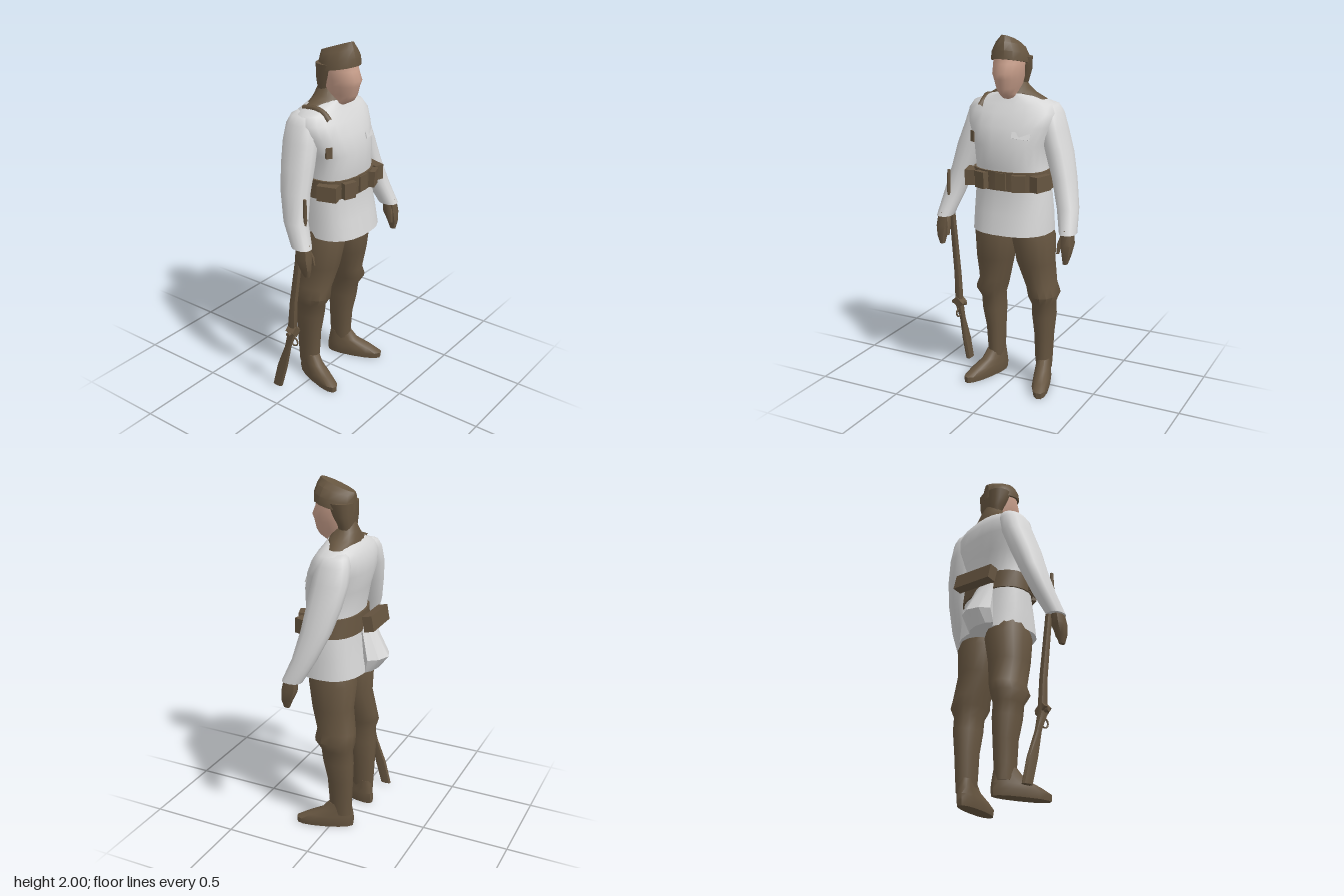
import * as THREE from 'three';
import { toCreasedNormals } from 'three/addons/utils/BufferGeometryUtils.js';

const material = (name, color) =>
  Object.assign(new THREE.MeshStandardMaterial({ color }), { name });

// Closed skin over rings listed upwards: [y, xMin, xMax, zMin, zMax, tilt].
// power 2 gives ellipses, more gives squarer rings, less gives diamonds.
function loft(rings, { sides = 14, power = 2, crease = 0.9 } = {}) {
  const pos = [], index = [];
  const bend = v => Math.sign(v) * Math.abs(v) ** (2 / power);
  for (const [y, x0, x1, z0, z1, tilt = 0] of rings) {
    for (let j = 0; j < sides; j++) {
      const a = (j / sides) * Math.PI * 2;
      const dz = bend(Math.sin(a)) * (z1 - z0) / 2;
      pos.push((x0 + x1) / 2 + bend(Math.cos(a)) * (x1 - x0) / 2, y + tilt * dz, (z0 + z1) / 2 + dz);
    }
  }
  const last = (rings.length - 1) * sides, bottom = rings.length * sides;
  for (const [y, x0, x1, z0, z1] of [rings[0], rings[rings.length - 1]]) {
    pos.push((x0 + x1) / 2, y, (z0 + z1) / 2);
  }
  for (let j = 0; j < sides; j++) {
    const k = (j + 1) % sides;
    for (let i = 0; i < last; i += sides) {
      index.push(i + j, i + sides + j, i + k, i + k, i + sides + j, i + sides + k);
    }
    index.push(bottom, j, k, bottom + 1, last + k, last + j);
  }
  const g = new THREE.BufferGeometry();
  g.setAttribute('position', new THREE.Float32BufferAttribute(pos, 3));
  g.setIndex(index);
  return toCreasedNormals(g, crease);
}

// Mirrors rings to the right side, with an optional sideways shift and
// a backward swing that grows below the shoulder.
const sided = (rings, s, shift = 0, swing = 0) => s > 0 ? rings
  : rings.map(([y, x0, x1, z0, z1]) => {
    const back = swing * THREE.MathUtils.clamp((1.4 - y) / 0.3, 0, 1);
    return [y, shift - x1, shift - x0, z0 - back, z1 - back];
  });

export function createModel() {
  const model = new THREE.Group();
  model.name = 'soldier';
  const cloth = material('pale jacket', 0xd6d6d6);
  const brown = material('brown cloth and leather', 0x665540);
  const skin = material('skin', 0xcaa08c);

  const add = (name, geometry, mat, p = [0, 0, 0], r = [0, 0, 0]) => {
    const mesh = new THREE.Mesh(geometry, mat);
    mesh.name = name;
    mesh.position.set(...p);
    mesh.rotation.set(...r);
    model.add(mesh);
  };
  const box = (name, size, mat, p, r) => add(name, new THREE.BoxGeometry(...size), mat, p, r);

  // Jacket body, from hem to neck
  add('jacket', loft([
    [0.94, -0.2, 0.25, -0.14, 0.237],
    [1.05, -0.2, 0.245, -0.125, 0.215],
    [1.2, -0.195, 0.23, -0.105, 0.185],
    [1.3, -0.19, 0.215, -0.1, 0.195],
    [1.42, -0.2, 0.21, -0.122, 0.205],
    [1.52, -0.25, 0.25, -0.142, 0.175],
    [1.59, -0.262, 0.262, -0.138, 0.14],
    [1.635, -0.235, 0.235, -0.12, 0.11],
    [1.66, -0.168, 0.168, -0.102, 0.095],
    [1.69, -0.1, 0.1, -0.07, 0.08],
  ], { sides: 22, power: 2.4 }), cloth);
  box('chestPocketFlap', [0.1, 0.035, 0.009], cloth, [0.12, 1.48, 0.167], [-0.35, 0.3, 0]);

  // Collar and yoke around the neck
  add('collar', loft([
    [1.657, -0.178, 0.188, -0.092, 0.06],
    [1.688, -0.125, 0.13, -0.085, 0.08],
    [1.71, -0.085, 0.09, -0.075, 0.085, -0.25],
    [1.75, -0.062, 0.065, -0.055, 0.06, -0.4],
  ], { sides: 16 }), brown);
  const strap = new THREE.CatmullRomCurve3([
    [-0.158, 1.653, -0.055], [-0.155, 1.66, 0.02], [-0.15, 1.643, 0.07], [-0.153, 1.61, 0.11],
  ].map(p => new THREE.Vector3(...p)));
  add('shoulderStrap', new THREE.TubeGeometry(strap, 12, 0.017, 6), brown);
  box('strapLoop', [0.035, 0.06, 0.03], brown, [-0.18, 1.45, 0.125], [0, -0.6, 0]);

  // Belt with ammunition pouches
  add('belt', loft([
    [1.18, -0.205, 0.242, -0.118, 0.198],
    [1.285, -0.202, 0.228, -0.112, 0.204],
  ], { sides: 22, power: 2.4 }), brown);
  box('beltBuckle', [0.06, 0.09, 0.02], brown, [0.02, 1.235, 0.2]);
  for (const s of [-1, 1]) {
    box('frontPouch', [0.07, 0.085, 0.045], brown, [0.012 + s * 0.11, 1.228, 0.193], [0, s * 0.35, 0]);
    box('frontPouchLid', [0.075, 0.03, 0.052], brown, [0.012 + s * 0.11, 1.262, 0.193], [0, s * 0.35, 0]);
    box('sidePouch', [0.055, 0.085, 0.11], brown, [0.012 + s * 0.208, 1.23, 0.133], [0, -s * 0.3, 0]);
  }

  // Pack and bag on the back
  box('backPack', [0.27, 0.085, 0.055], brown, [-0.03, 1.24, -0.168], [0.2, 0.1, 0.06]);
  add('backBag', loft([
    [0.94, -0.15, 0.05, -0.18, -0.1],
    [1.02, -0.15, 0.065, -0.242, -0.08],
    [1.2, -0.12, 0.03, -0.14, -0.08],
  ], { sides: 8, power: 1.6, crease: 0.5 }), cloth);

  // Arms, hands, legs and boots
  for (const s of [-1, 1]) {
    add('sleeve', loft(sided([
      [0.975, 0.34, 0.43, 0.075, 0.19],
      [1.1, 0.3, 0.413, 0.005, 0.14],
      [1.25, 0.25, 0.375, -0.062, 0.108],
      [1.38, 0.2, 0.342, -0.1, 0.092],
      [1.5, 0.16, 0.3, -0.122, 0.08],
      [1.59, 0.13, 0.272, -0.118, 0.065],
      [1.63, 0.13, 0.245, -0.102, 0.045],
      [1.645, 0.14, 0.2, -0.08, 0.02],
    ], s, 0, 0.028), { sides: 14, power: 2.3 }), cloth);
    add('hand', loft(sided([
      [0.815, 0.375, 0.4, 0.15, 0.185],
      [0.86, 0.368, 0.415, 0.13, 0.195],
      [0.92, 0.355, 0.425, 0.1, 0.195],
      [1.0, 0.35, 0.415, 0.1, 0.18],
    ], s, 0, 0.028), { sides: 8, power: 2.5 }), brown);
    add('thumb', loft(sided([
      [0.87, 0.338, 0.355, 0.165, 0.19],
      [0.92, 0.337, 0.365, 0.145, 0.185],
      [0.97, 0.35, 0.385, 0.12, 0.17],
    ], s, 0, 0.028), { sides: 6 }), brown);

    add('leg', loft(sided([
      [0.08, 0.13, 0.21, -0.11, 0.015],
      [0.16, 0.122, 0.215, -0.115, 0.02],
      [0.3, 0.118, 0.222, -0.122, 0.03],
      [0.42, 0.11, 0.238, -0.127, 0.055],
      [0.5, 0.112, 0.238, -0.122, 0.066],
      [0.555, 0.094, 0.264, -0.137, 0.1],
      [0.61, 0.082, 0.243, -0.134, 0.094],
      [0.75, 0.038, 0.245, -0.108, 0.13],
      [0.9, 0.012, 0.246, -0.12, 0.155],
      [0.98, 0.02, 0.225, -0.09, 0.14],
    ], s, 0.03), { sides: 14, power: 2.2 }), brown);
    add('boot', loft([
      [0, -0.045, 0.045, -0.088, 0.245],
      [0.035, -0.052, 0.052, -0.092, 0.248],
      [0.065, -0.048, 0.048, -0.088, 0.19],
      [0.1, -0.043, 0.043, -0.082, 0.1],
      [0.15, -0.04, 0.04, -0.072, 0.055],
    ], { sides: 14, power: 2.3 }), brown, [s > 0 ? 0.17 : -0.14, 0, -0.035], [0, s * 0.32, 0]);
  }

  // Head: face, hair and folded cap
  add('face', loft([
    [1.66, -0.045, 0.05, -0.03, 0.095],
    [1.69, -0.042, 0.05, -0.03, 0.15],
    [1.72, -0.055, 0.062, -0.04, 0.168],
    [1.77, -0.07, 0.078, -0.045, 0.178],
    [1.8, -0.076, 0.084, -0.047, 0.19],
    [1.85, -0.082, 0.09, -0.05, 0.168],
    [1.9, -0.08, 0.085, -0.05, 0.16],
  ], { sides: 16, crease: 1.2 }), skin);
  add('hair', loft([
    [1.7, -0.055, 0.06, -0.05, 0.02],
    [1.76, -0.074, 0.08, -0.054, 0.03],
    [1.81, -0.09, 0.098, -0.058, 0.055],
    [1.88, -0.095, 0.105, -0.06, 0.09],
  ], { sides: 14, power: 2.6 }), brown);
  add('cap', loft([
    [1.855, -0.094, 0.104, -0.062, 0.178, 0.2],
    [1.9, -0.09, 0.1, -0.062, 0.175, 0.2],
    [1.94, -0.068, 0.076, -0.06, 0.16, 0.25],
    [1.965, -0.034, 0.042, -0.058, 0.142, 0.35],
  ], { sides: 14, power: 2, crease: 0.6 }), brown);

  // Rifle held upright beside the right leg, butt to the rear
  add('rifleStock', loft([
    [0.01, -0.375, -0.345, -0.14, -0.075],
    [0.15, -0.375, -0.345, -0.105, -0.035],
    [0.3, -0.372, -0.348, -0.045, -0.005],
    [0.4, -0.38, -0.342, -0.02, 0.035],
    [0.6, -0.378, -0.343, 0.0, 0.042],
    [1.0, -0.374, -0.344, 0.06, 0.095],
  ], { sides: 8, power: 3 }), brown);
  add('rifleBarrel', loft([
    [0.95, -0.37, -0.348, 0.06, 0.088],
    [1.12, -0.37, -0.348, 0.095, 0.12],
    [1.24, -0.366, -0.35, 0.095, 0.117],
  ], { sides: 8 }), brown);
  add('rifleBolt', new THREE.CylinderGeometry(0.012, 0.012, 0.09, 8), brown, [-0.36, 0.41, 0.01], [0, 0, Math.PI / 2]);
  box('rifleAction', [0.045, 0.06, 0.05], brown, [-0.36, 0.42, 0.012], [0.1, 0, Math.PI / 4]);
  add('triggerGuard', new THREE.TorusGeometry(0.025, 0.005, 6, 12), brown, [-0.36, 0.35, 0.02], [0, Math.PI / 2, 0]);
  return model;
}
